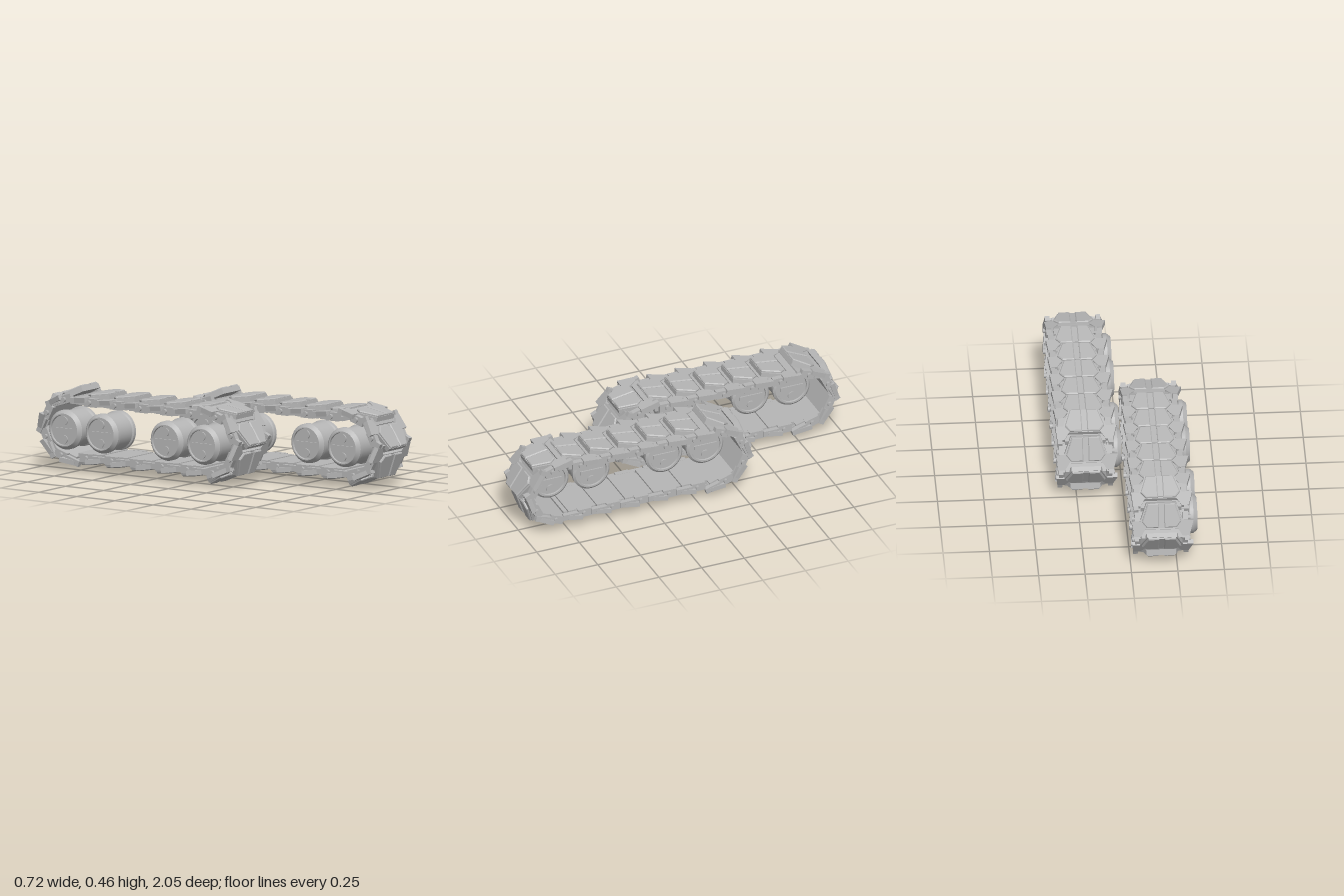
import * as THREE from 'three';

const steel = new THREE.MeshStandardMaterial({ color: 0xb6b6b6 });
steel.name = 'grey steel';

function mesh(name, geometry, x = 0, y = 0, z = 0) {
  const m = new THREE.Mesh(geometry, steel);
  m.name = name;
  m.position.set(x, y, z);
  return m;
}

// Flat plate lying in the xz plane, from y = bottom up to bottom + height
function plate(points, bottom, height, bevel = 0) {
  const shape = new THREE.Shape(points.map(([x, z]) => new THREE.Vector2(x, z)));
  const g = new THREE.ExtrudeGeometry(shape, {
    depth: height - 2 * bevel, bevelEnabled: bevel > 0, bevelThickness: bevel,
    bevelSize: bevel, bevelOffset: -bevel, bevelSegments: 1,
  });
  g.rotateX(Math.PI / 2);
  g.translate(0, bottom + height - bevel, 0);
  return g;
}

const mirrorX = (pts) => pts.map(([x, z]) => [-x, z]).reverse();
const RIM = 0.157; // inboard edge is trimmed slightly

function makeLink() {
  const link = new THREE.Group();
  link.name = 'trackLink';

  // Shingle tilted so that its tip stands outward
  const shingle = new THREE.Group();
  shingle.name = 'chevronShingle';
  shingle.rotation.x = -0.13;
  const half = [[0.08, 0.1], [0.115, 0.0], [0.172, 0.0], [0.15, -0.085], [0.112, -0.085], [0.085, -0.04]];
  const outline = [...half.map(([x, z]) => [Math.min(x, RIM), z]), ...mirrorX(half)];
  shingle.add(mesh('chevronPlate', plate(outline, 0, 0.026)));

  // Raised tread on both sides of the middle groove
  const tread = [[0.014, 0.098], [0.074, 0.098], [0.106, -0.002], [0.08, -0.036], [0.014, -0.036]];
  shingle.add(mesh('treadPad', plate(tread, 0.02, 0.018, 0.005)));
  shingle.add(mesh('treadPad', plate(mirrorX(tread), 0.02, 0.018, 0.005)));
  shingle.add(mesh('middleGroove', new THREE.BoxGeometry(0.03, 0.012, 0.125), 0, 0.026, 0.032));
  link.add(shingle);

  // Inner pad that closes the belt
  link.add(mesh('innerPad', new THREE.BoxGeometry(0.25, 0.024, 0.15), 0, -0.014, 0));
  link.add(mesh('innerRib', new THREE.BoxGeometry(0.22, 0.03, 0.045), 0, -0.002, -0.075));

  // Hinge brackets and pins at both edges
  for (const s of [-1, 1]) {
    link.add(mesh('hingeBracket', new THREE.BoxGeometry(0.03, 0.046, 0.08), s * 0.128, -0.004, 0.015));
    link.add(mesh('hingeArm', new THREE.BoxGeometry(0.026, 0.032, 0.09), s * 0.136, -0.002, -0.068));
    const pin = mesh('hingePin', new THREE.CylinderGeometry(0.014, 0.014, 0.018, 8), s * 0.148, -0.004, 0.01);
    pin.rotation.z = Math.PI / 2;
    link.add(pin);
  }
  return link;
}

function makeWheel() {
  const wheel = new THREE.Group();
  wheel.name = 'roadWheel';
  const profile = [
    [0, -0.09], [0.082, -0.09], [0.084, -0.1], [0.09, -0.1], [0.108, -0.078], [0.108, -0.058], [0.1, -0.052],
    [0.1, 0.06], [0.108, 0.066], [0.108, 0.084], [0.096, 0.094], [0.086, 0.094], [0.084, 0.085], [0, 0.085],
  ];
  // Separate rings keep the steps crisp
  for (let i = 0; i < profile.length - 1; i++) {
    const ring = profile.slice(i, i + 2).map(([r, y]) => new THREE.Vector2(r, y));
    const m = mesh('wheelRing', new THREE.LatheGeometry(ring, 32));
    m.rotation.z = -Math.PI / 2;
    wheel.add(m);
  }
  // Slot bar and round bosses on both faces
  for (const x of [-0.09, 0.085]) {
    wheel.add(mesh('slotBar', new THREE.BoxGeometry(0.014, 0.022, 0.132), x, 0, 0));
    for (const y of [-0.05, 0.05]) {
      const boss = mesh('boss', new THREE.CylinderGeometry(0.023, 0.023, 0.014, 16), x, y, 0);
      boss.rotation.z = Math.PI / 2;
      wheel.add(boss);
    }
  }
  return wheel;
}

// Hinge positions [y, z] around the loop, in running order
function loopStations() {
  const top = [], bottom = [];
  for (let k = -3; k <= 3; k++) {
    top.push([0.387, 0.166 * k]);
    bottom.push([0.076, -0.166 * k]);
  }
  return [...top, [0.298, 0.607], [0.165, 0.607], ...bottom, [0.165, -0.607], [0.298, -0.607]];
}

function makeTrack(name, x, z) {
  const track = new THREE.Group();
  track.name = name;
  track.position.set(x, 0, z);
  const stations = loopStations(), n = stations.length;
  const link = makeLink(), wheel = makeWheel();
  stations.forEach(([y, zz], i) => {
    const a = stations[(i + n - 1) % n], b = stations[(i + 1) % n];
    const l = link.clone();
    l.position.set(0, y, zz);
    l.rotation.x = Math.atan2(a[0] - b[0], b[1] - a[1]);
    track.add(l);
  });
  for (const zz of [-0.453, -0.213, 0.213, 0.453]) {
    const w = wheel.clone();
    w.position.set(-0.099, 0.23, zz);
    track.add(w);
  }
  return track;
}

export function createModel() {
  const model = new THREE.Group();
  model.name = 'crawlerTracks';
  model.add(makeTrack('rightTrack', -0.164, -0.333), makeTrack('leftTrack', 0.204, 0.333));
  return model;
}
